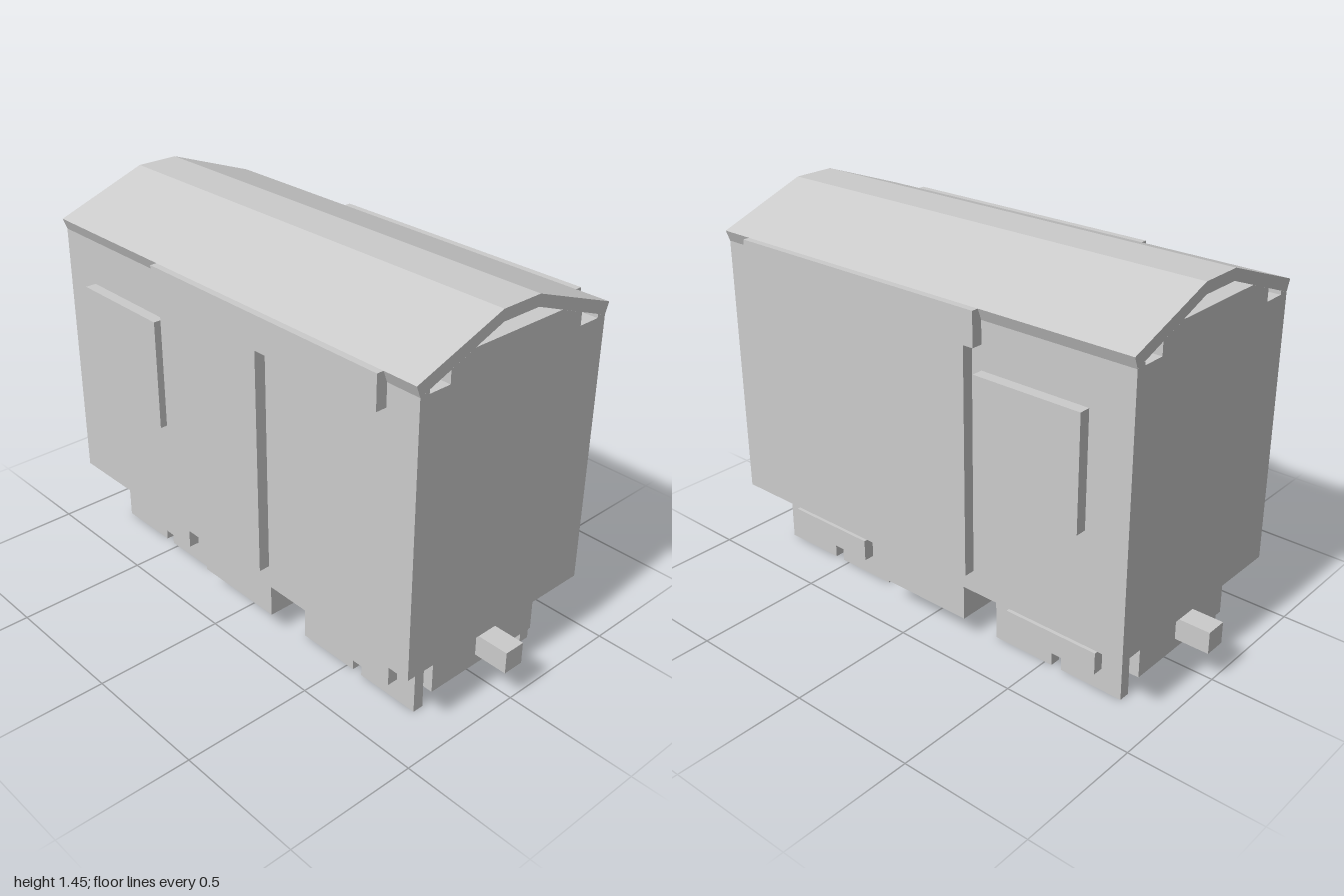
import * as THREE from 'three';

const grey = new THREE.MeshStandardMaterial({ color: 0xcccccc, flatShading: true });

// Box given by its min/max extents on each axis
function box(parent, name, [x0, x1], [y0, y1], [z0, z1]) {
  const mesh = new THREE.Mesh(new THREE.BoxGeometry(x1 - x0, y1 - y0, z1 - z0), grey);
  mesh.position.set((x0 + x1) / 2, (y0 + y1) / 2, (z0 + z1) / 2);
  mesh.name = name;
  parent.add(mesh);
}

// Extrudes a symmetric (z, y) cross-section along the length of the wagon
function lengthwise(parent, name, points, length) {
  const shape = new THREE.Shape(points.map(([z, y]) => new THREE.Vector2(z, y)));
  const geometry = new THREE.ExtrudeGeometry(shape, { depth: length, bevelEnabled: false });
  geometry.translate(0, 0, -length / 2).rotateY(Math.PI / 2);
  const mesh = new THREE.Mesh(geometry, grey);
  mesh.name = name;
  parent.add(mesh);
}

const mirrored = (half) => half.map(([z, y]) => [-z, y]).reverse();

export function createModel() {
  const model = new THREE.Group();
  model.name = 'boxWagon';

  // Body, with open slots left under the roof
  const bodyHalf = [[0.425, 0.26], [0.425, 1.28], [0.387, 1.294], [0.387, 1.28],
    [0.3, 1.28], [0.3, 1.327], [0.199, 1.365]];
  lengthwise(model, 'body', [...bodyHalf, ...mirrored(bodyHalf)], 1.824);

  // Faceted roof shell
  const outer = [[0.441, 1.322], [0.083, 1.452]];
  const inner = [[0.425, 1.28], [0.08, 1.41]];
  lengthwise(model, 'roof',
    [...outer, ...mirrored(outer), ...inner.map(([z, y]) => [-z, y]), ...mirrored(inner).map(([z, y]) => [-z, y])],
    1.824);

  // Sliding door, its rail and the side panel, on both sides
  for (const s of [1, -1]) {
    const depth = s > 0 ? [0.42, 0.467] : [-0.467, -0.42];
    box(model, 'slidingDoor', [-0.28, 0.23], [0.345, 1.2], depth);
    box(model, 'doorRail', [-0.32, 0.78], [1.197, 1.322], depth);
    box(model, 'sidePanel', [-0.747, -0.32], [0.687, 1.108], depth);
  }

  // Equipment box under the floor
  box(model, 'underfloorBox', [-0.195, 0.188], [0.088, 0.265], [-0.383, 0.383]);

  // Bogies with wheel plates, side bars and a coupler
  for (const s of [1, -1]) {
    const bogie = new THREE.Group();
    bogie.name = s > 0 ? 'leftBogie' : 'rightBogie';
    bogie.position.x = s * 0.551;
    box(bogie, 'bogieFrame', [-0.315, 0.315], [0.088, 0.265], [-0.256, 0.256]);
    for (const side of [1, -1]) {
      const span = (a, b) => (side > 0 ? [a, b] : [-b, -a]);
      box(bogie, 'wheelPlate', [-0.276, -0.021], [0, 0.26], span(0.255, 0.298));
      box(bogie, 'wheelPlate', [0.021, 0.276], [0, 0.26], span(0.255, 0.298));
      box(bogie, 'sideBar', [-0.193, 0.193], [0.088, 0.173], span(0.297, 0.34));
    }
    box(bogie, 'coupler', s > 0 ? [0.31, 0.449] : [-0.449, -0.31], [0.13, 0.215], [-0.042, 0.042]);
    model.add(bogie);
  }
  return model;
}
